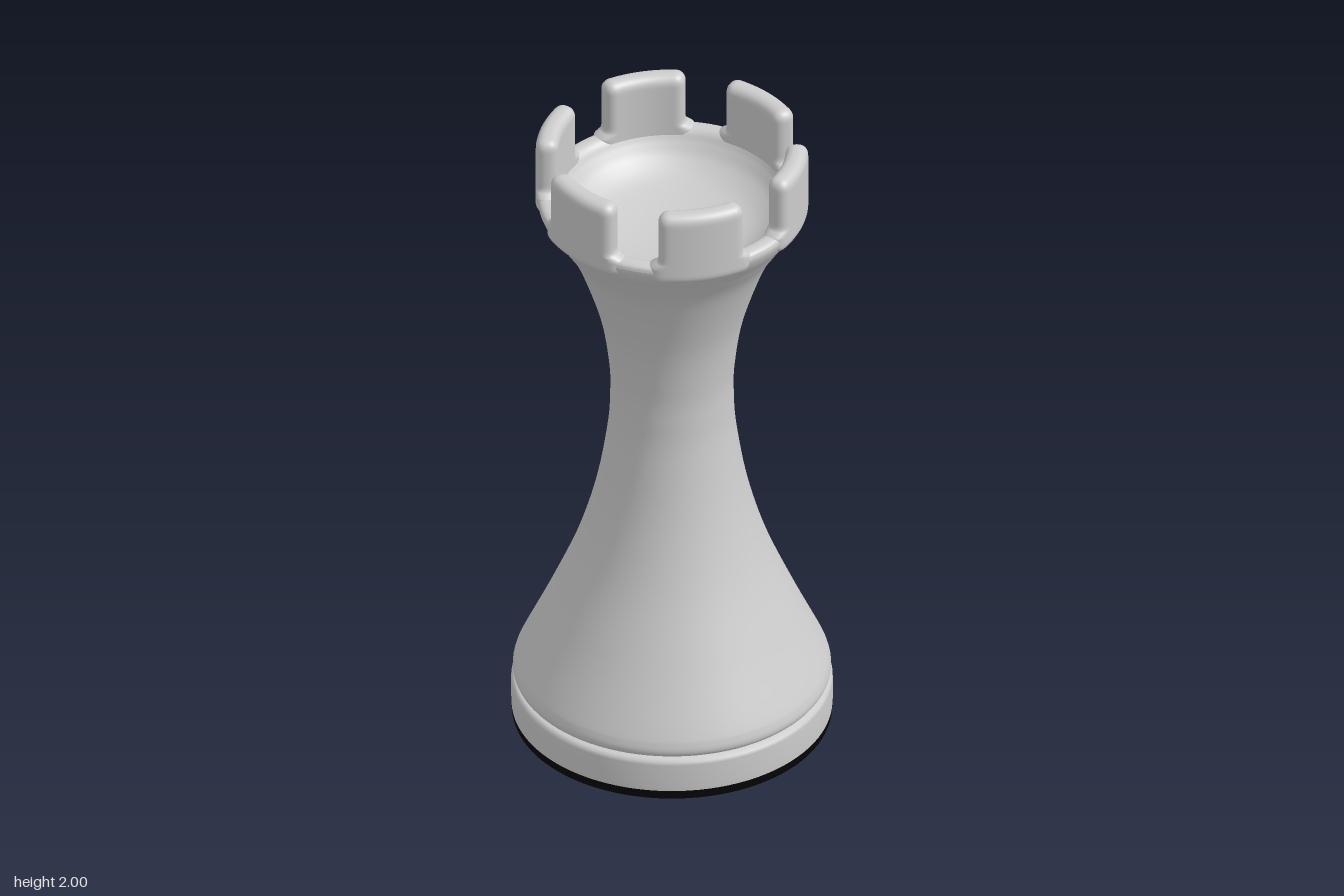
import * as THREE from 'three';
import { mergeVertices } from 'three/addons/utils/BufferGeometryUtils.js';

const stone = new THREE.MeshStandardMaterial({ name: 'light grey', color: 0xcccccc });
const felt = new THREE.MeshStandardMaterial({ name: 'black felt', color: 0x050505 });

const points = (list) => list.map(([r, y]) => new THREE.Vector2(r, y));

function lathe(name, profile, material) {
  const mesh = new THREE.Mesh(new THREE.LatheGeometry(profile, 96), material);
  mesh.name = name;
  return mesh;
}

// Rounded block bent around the rim, flaring where it meets the rim
function merlonGeometry(halfAngle) {
  const inner = 0.33, outer = 0.397, bottom = 1.76, top = 2, radius = 0.03, rim = 1.82, fillet = 0.025;
  const mid = (inner + outer) / 2;
  const half = new THREE.Vector3(halfAngle * mid, (top - bottom) / 2, (outer - inner) / 2);
  const core = half.clone().subScalar(radius);
  let geo = new THREE.BoxGeometry(half.x * 2, half.y * 2, half.z * 2, 32, 28, 10);
  geo.deleteAttribute('normal');
  geo.deleteAttribute('uv');
  geo = mergeVertices(geo);
  const pos = geo.attributes.position;
  const p = new THREE.Vector3(), c = new THREE.Vector3();
  for (let i = 0; i < pos.count; i++) {
    p.fromBufferAttribute(pos, i);
    c.copy(p).clamp(core.clone().negate(), core);
    p.sub(c).setLength(radius).add(c);
    const y = p.y + (top + bottom) / 2;
    const t = THREE.MathUtils.clamp((y - rim) / fillet, 0, 1);
    const flare = fillet * (1 - Math.sqrt(1 - (1 - t) ** 2));
    const angle = (p.x / half.x) * (half.x + flare) / mid;
    const r = mid + p.z;
    pos.setXYZ(i, Math.sin(angle) * r, y, Math.cos(angle) * r);
  }
  geo.computeVertexNormals();
  return geo;
}

export function createModel() {
  const group = new THREE.Group();
  group.name = 'chessRook';

  // Felt pad under the base
  group.add(lathe('feltPad', points([
    [0, 0], [0.455, 0], [0.455, 0], [0.463, 0.004], [0.466, 0.012], [0.467, 0.033],
  ]), felt));

  // Base disc with a groove above it
  group.add(lathe('baseDisc', points([
    [0.467, 0.033], [0.468, 0.05], [0.468, 0.122], [0.465, 0.132], [0.457, 0.138], [0.44, 0.141],
  ]), stone));

  // Waisted column, flaring to the rim
  const column = new THREE.SplineCurve(points([
    [0.44, 0.141], [0.455, 0.147], [0.463, 0.162], [0.46, 0.185], [0.444, 0.225], [0.363, 0.4],
    [0.28, 0.6], [0.222, 0.8], [0.188, 1], [0.18, 1.12], [0.183, 1.23], [0.21, 1.4],
    [0.277, 1.6], [0.334, 1.7], [0.372, 1.755], [0.387, 1.785], [0.39, 1.8],
  ]));
  group.add(lathe('column', column.getPoints(96), stone));

  // Rounded rim and the hollow inside it
  const hollow = new THREE.SplineCurve(points([
    [0.39, 1.8], [0.386, 1.812], [0.373, 1.819], [0.352, 1.819], [0.335, 1.808],
    [0.318, 1.782], [0.285, 1.745], [0.22, 1.71], [0.11, 1.688], [0, 1.68],
  ]));
  group.add(lathe('rimAndHollow', hollow.getPoints(60), stone));

  // Six merlons, the side pair slightly narrower
  const wide = merlonGeometry(THREE.MathUtils.degToRad(19.7));
  const narrow = merlonGeometry(THREE.MathUtils.degToRad(18.2));
  for (let i = 0; i < 6; i++) {
    const merlon = new THREE.Mesh(i % 3 === 1 ? narrow : wide, stone);
    merlon.name = `merlon${i + 1}`;
    merlon.rotation.y = Math.PI / 6 + (i * Math.PI) / 3;
    group.add(merlon);
  }
  return group;
}
